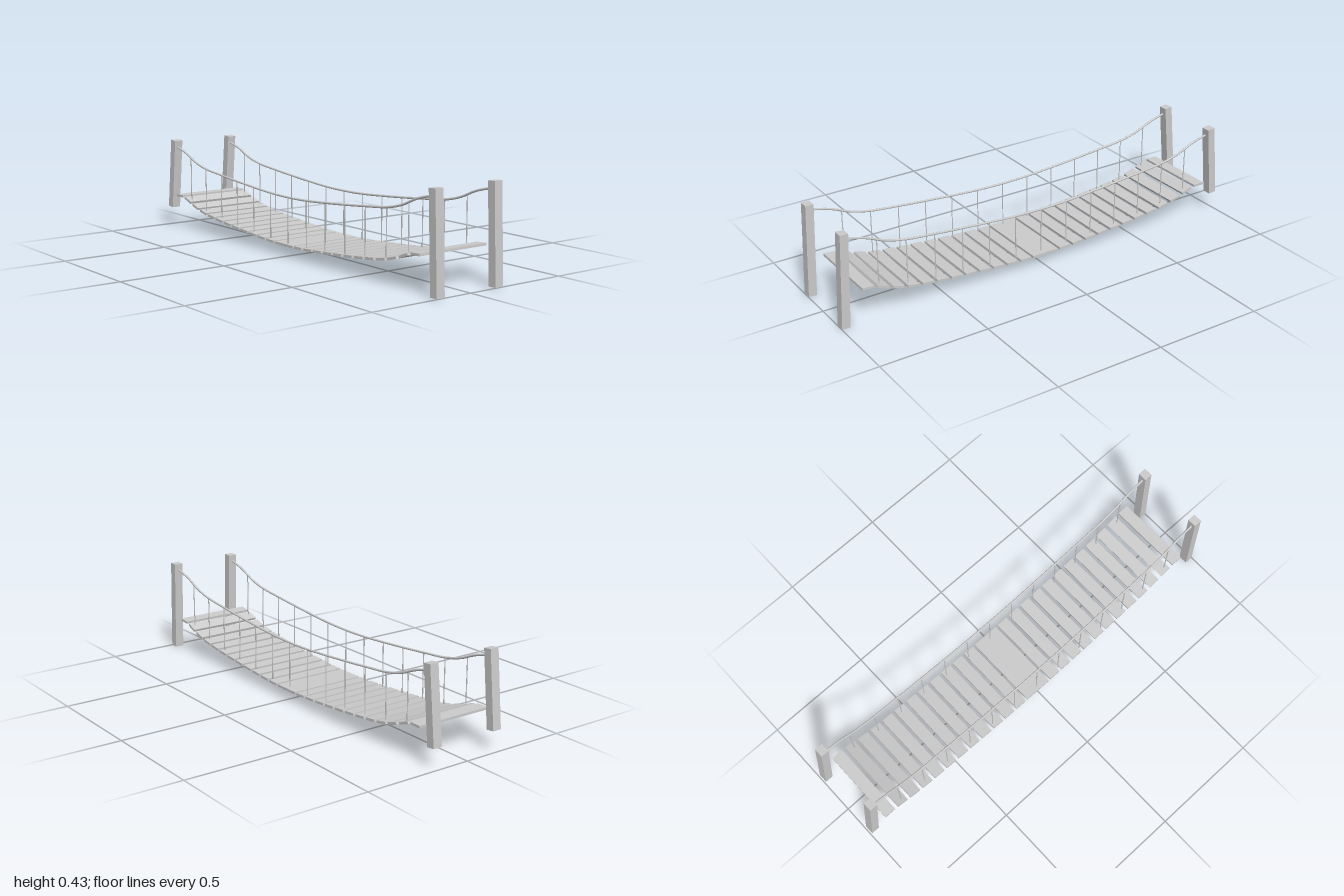
import * as THREE from 'three';

const material = new THREE.MeshStandardMaterial({ color: 0xcccccc });
const SIDES = { right: -0.159, left: 0.154 };

// Half of a sagging profile [z, y], mirrored into a full curve along z
function sagCurve(half, x = 0) {
  const back = half.slice(1).reverse().map(([z, y]) => new THREE.Vector3(x, y, -z));
  const front = half.map(([z, y]) => new THREE.Vector3(x, y, z));
  return new THREE.CatmullRomCurve3([...back, ...front], false, 'centripetal');
}

const railProfile = [[0, 0.265], [0.135, 0.268], [0.4, 0.287], [0.54, 0.3], [0.68, 0.315],
  [0.77, 0.337], [0.86, 0.374], [0.96, 0.4]];
const deckProfile = [[0, 0.052], [0.135, 0.055], [0.4, 0.073], [0.54, 0.086], [0.68, 0.104],
  [0.77, 0.128], [0.855, 0.157], [0.92, 0.158]];

// Height of a sampled curve at a given z
function heightAt(samples, z) {
  let i = 1;
  while (i < samples.length - 1 && samples[i].z < z) i++;
  const a = samples[i - 1], b = samples[i];
  return THREE.MathUtils.lerp(a.y, b.y, (z - a.z) / (b.z - a.z));
}

export function createModel() {
  const model = new THREE.Group();
  const add = (name, geometry, x, y, z, tilt = 0) => {
    const mesh = new THREE.Mesh(geometry, material);
    mesh.name = name;
    mesh.position.set(x, y, z);
    mesh.rotation.x = tilt;
    model.add(mesh);
  };

  const deck = sagCurve(deckProfile).getPoints(300);
  const rail = sagCurve(railProfile).getPoints(300);

  // Planks follow the slope of the deck, with one wide board in the middle
  const addPlank = (name, z, depth) => {
    const y0 = heightAt(deck, z - depth / 2), y1 = heightAt(deck, z + depth / 2);
    const slope = Math.atan2(y1 - y0, depth);
    add(name, new THREE.BoxGeometry(0.358, 0.011, depth), 0, (y0 + y1) / 2, z, -slope);
  };
  const middle = -0.008, pitch = 0.0704;
  addPlank('middlePlank', middle, 0.132);
  for (let i = 0; i < 12; i++) {
    const offset = 0.105 + i * pitch;
    addPlank('plank', middle + offset, 0.055);
    addPlank('plank', middle - offset, 0.055);
  }

  for (const [side, x] of Object.entries(SIDES)) {
    // Handrail rope
    add(side + 'HandRope', new THREE.TubeGeometry(sagCurve(railProfile, x), 80, 0.005, 8), 0, 0, 0);

    // Thin hangers from handrail to deck
    for (let k = -6; k <= 6; k++) {
      const z = k * 0.135;
      const top = heightAt(rail, z), bottom = heightAt(deck, z);
      add(side + 'Hanger', new THREE.CylinderGeometry(0.0025, 0.0025, top - bottom, 6), x, (top + bottom) / 2, z);
    }

    // Leaning posts, taller at the front
    const postX = Math.sign(x) * 0.157;
    add(side + 'FrontPost', new THREE.BoxGeometry(0.042, 0.428, 0.038), postX, 0.215, 0.972, -0.04);
    add(side + 'BackPost', new THREE.BoxGeometry(0.042, 0.338, 0.038), postX, 0.26, -0.963, 0.1);
  }
  return model;
}
